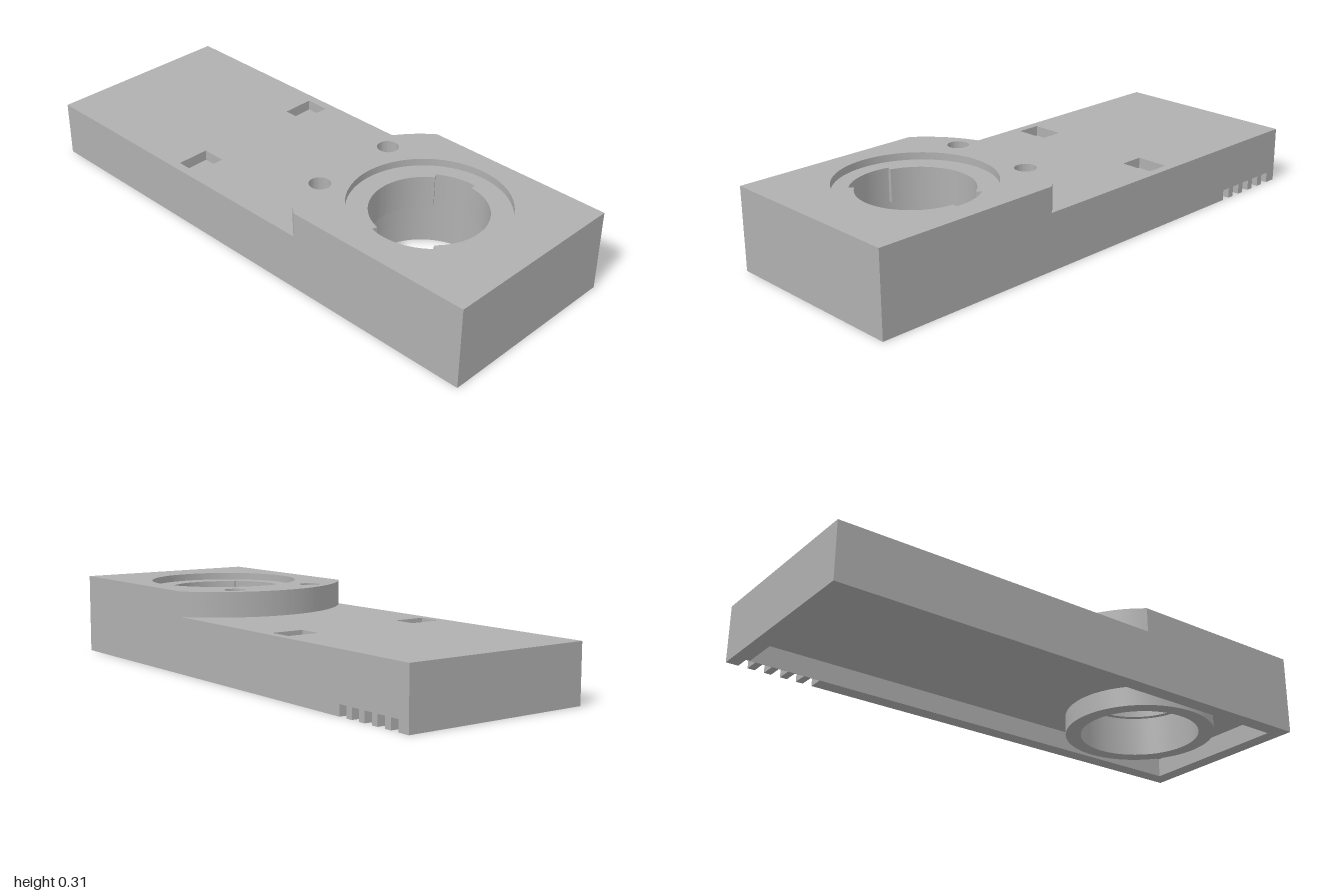
import * as THREE from 'three';
import { toCreasedNormals } from 'three/addons/utils/BufferGeometryUtils.js';

const HALF_W = 0.365, WALL = 0.06, BORE_Z = 0.553;
const CEILING = 0.075, LEDGE = 0.155, POCKET = 0.173, DECK = 0.213, RECESS = 0.28, TOP = 0.307;
const rad = THREE.MathUtils.degToRad;

// Outlines are drawn in plan: shape x = x, shape y = -z
function polygon(points, Type = THREE.Shape) {
  return new Type(points.map(([x, z]) => new THREE.Vector2(x, -z)));
}
function rect(x0, x1, z0, z1, Type) {
  return polygon([[x0, z1], [x1, z1], [x1, z0], [x0, z0]], Type);
}
function circle(x, z, r, Type = THREE.Path) {
  return new Type().absarc(x, -z, r, 0, Math.PI * 2, false);
}

// Bore with two notches for a twist-in fitting
function bayonet() {
  const path = new THREE.Path();
  for (const [r, a, b] of [[0.226, -4, 35], [0.206, 35, 165], [0.226, 165, 225], [0.206, 225, 356]]) {
    path.absarc(0, -BORE_Z, r, rad(a), rad(b), false);
  }
  path.closePath();
  return path;
}

// Raised end: square at the front, round at the back
function platform() {
  const r = 0.458, a = Math.acos(HALF_W / r);
  const shape = new THREE.Shape();
  shape.moveTo(-HALF_W, -1);
  shape.lineTo(HALF_W, -1);
  shape.absarc(0, -BORE_Z, r, a, Math.PI - a, false);
  shape.closePath();
  return shape;
}

// Open frame, optionally with the vent slots cut through its left wall
function frame(slotted) {
  const pts = [[-HALF_W, 1], [HALF_W, 1]];
  if (slotted) {
    for (let i = 0; i < 5; i++) {
      const z = -0.672 - i * 0.0618, inner = HALF_W - WALL + 0.001;
      pts.push([HALF_W, z], [inner, z], [inner, z - 0.035], [HALF_W, z - 0.035]);
    }
  }
  pts.push([HALF_W, -1], [-HALF_W, -1]);
  const shape = polygon(pts);
  const w = HALF_W - WALL;
  shape.holes.push(rect(-w, w, -1 + WALL, 1 - WALL, THREE.Path));
  return shape;
}

export function createModel() {
  const group = new THREE.Group();
  const grey = new THREE.MeshStandardMaterial({ color: 0xb0b0b0 });
  grey.name = 'plain grey';

  function layer(name, shape, y0, y1, holes = []) {
    shape.holes.push(...holes);
    const extruded = new THREE.ExtrudeGeometry(shape, { depth: y1 - y0, bevelEnabled: false, curveSegments: 48 });
    extruded.rotateX(-Math.PI / 2).translate(0, y0, 0);
    const mesh = new THREE.Mesh(toCreasedNormals(extruded, rad(30)), grey);
    mesh.name = name;
    group.add(mesh);
  }
  const plate = () => rect(-HALF_W, HALF_W, -1, 1);
  const pockets = () => [-1, 1].map((s) => rect(s * 0.27 - 0.062, s * 0.27 + 0.062, -0.353, -0.262, THREE.Path));
  const pinHoles = () => [-1, 1].map((s) => circle(s * 0.173, 0.208, 0.039));

  // Hollow underside
  layer('slottedRim', frame(true), 0, 0.04);
  layer('upperRim', frame(false), 0.04, CEILING);
  layer('lowerCollar', circle(0, BORE_Z, 0.284, THREE.Shape), 0, CEILING, [circle(0, BORE_Z, 0.226)]);

  // Main slab
  layer('lowerSlab', plate(), CEILING, LEDGE, [circle(0, BORE_Z, 0.226)]);
  layer('middleSlab', plate(), LEDGE, POCKET, [bayonet()]);
  layer('pocketedSlab', plate(), POCKET, DECK, [bayonet(), ...pockets()]);

  // Raised end with pin holes and a shallow round recess
  layer('platform', platform(), DECK, RECESS, [bayonet(), ...pinHoles()]);
  layer('recessedTop', platform(), RECESS, TOP, [circle(0, BORE_Z, 0.283), ...pinHoles()]);

  return group;
}
